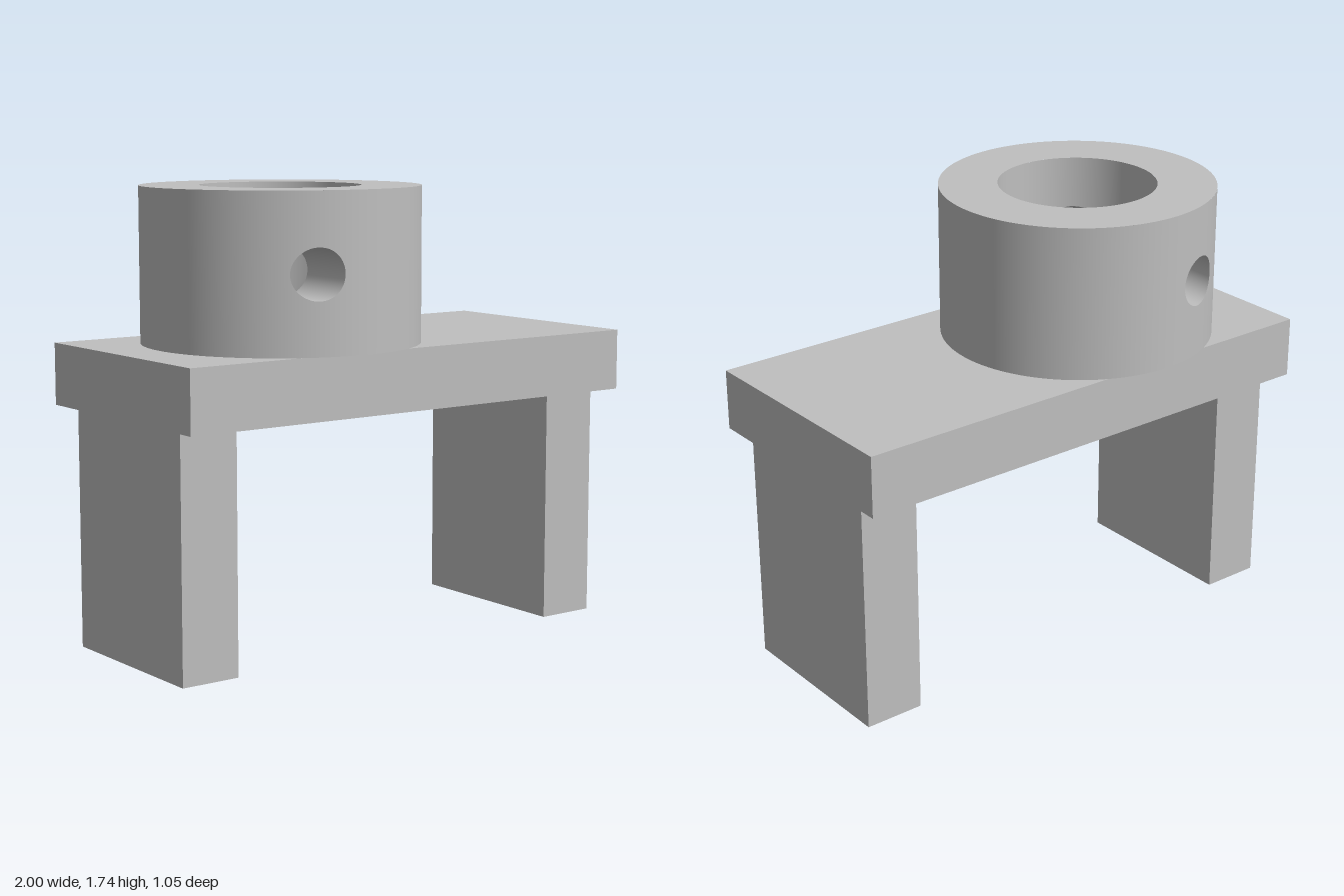
import * as THREE from 'three';

const RING = { x: -0.295, outer: 0.527, inner: 0.302, y0: 1.15, y1: 1.737 };
const HOLE = { x: -0.18, y: 1.443, r: 0.095 }; // x is relative to the ring axis

// Grid surface: fn(u, v) returns [position, normal]; triangles are wound to match the normals.
function surface(nu, nv, fn) {
  const pos = [], nor = [], index = [], P = [], N = [];
  for (let j = 0; j <= nv; j++) {
    for (let i = 0; i <= nu; i++) {
      const [p, n] = fn(i / nu, j / nv);
      P.push(p); N.push(n);
      pos.push(p.x, p.y, p.z);
      nor.push(n.x, n.y, n.z);
    }
  }
  const face = new THREE.Vector3(), edge = new THREE.Vector3();
  const tri = (a, b, c) => {
    face.subVectors(P[b], P[a]).cross(edge.subVectors(P[c], P[a]));
    if (face.dot(N[a]) + face.dot(N[b]) + face.dot(N[c]) >= 0) index.push(a, b, c);
    else index.push(a, c, b);
  };
  for (let j = 0; j < nv; j++) {
    for (let i = 0; i < nu; i++) {
      const a = j * (nu + 1) + i, b = a + 1, c = a + nu + 1, d = c + 1;
      tri(a, b, c);
      tri(b, d, c);
    }
  }
  const g = new THREE.BufferGeometry();
  g.setAttribute('position', new THREE.Float32BufferAttribute(pos, 3));
  g.setAttribute('normal', new THREE.Float32BufferAttribute(nor, 3));
  g.setIndex(index);
  return g;
}

// Point on a cylinder wall of radius r; side -1 mirrors it to the back.
function onWall(r, t, y, side, facing) {
  const s = Math.sin(t), c = Math.cos(t) * side;
  return [new THREE.Vector3(r * s, y, r * c), new THREE.Vector3(s * facing, 0, c * facing)];
}

// Ring wall with a front and a back opening for the cross hole.
function wallGeometries(r, facing) {
  const margin = 0.05;
  const t0 = Math.asin((HOLE.x - HOLE.r) / r) - margin;
  const t1 = Math.asin((HOLE.x + HOLE.r) / r) + margin;
  const { y0, y1 } = RING;
  const arc = (from, to) => surface(64, 1, (u, v) =>
    onWall(r, from + (to - from) * u, y0 + (y1 - y0) * v, 1, facing));
  const patch = side => surface(64, 8, (u, v) => {
    const a = u * Math.PI * 2, ca = Math.cos(a), sa = Math.sin(a);
    const m = Math.max(Math.abs(ca), Math.abs(sa));
    const th = Math.asin((HOLE.x + HOLE.r * ca) / r), yh = HOLE.y + HOLE.r * sa;
    const tr = (t0 + t1) / 2 + (ca / m) * (t1 - t0) / 2;
    const yr = (y0 + y1) / 2 + (sa / m) * (y1 - y0) / 2;
    return onWall(r, th + (tr - th) * v, yh + (yr - yh) * v, side, facing);
  });
  return [arc(t1, Math.PI - t1), arc(Math.PI - t0, Math.PI * 2 + t0), patch(1), patch(-1)];
}

// Lining of the cross hole between the two walls.
function tunnelGeometry(side) {
  return surface(64, 1, (u, v) => {
    const a = u * Math.PI * 2, ca = Math.cos(a), sa = Math.sin(a);
    const x = HOLE.x + HOLE.r * ca, r = v ? RING.outer : RING.inner;
    return [
      new THREE.Vector3(x, HOLE.y + HOLE.r * sa, side * Math.sqrt(r * r - x * x)),
      new THREE.Vector3(-ca, -sa, 0),
    ];
  });
}

export function createModel() {
  const model = new THREE.Group();
  model.name = 'drilledRingBracket';
  const grey = new THREE.MeshStandardMaterial({ color: 0xbfbfbf });
  grey.name = 'grey';
  const add = (parent, name, geometry) => {
    const mesh = new THREE.Mesh(geometry, grey);
    mesh.name = name;
    parent.add(mesh);
    return mesh;
  };

  // Table plate
  add(model, 'plate', new THREE.BoxGeometry(2, 0.235, 0.94)).position.y = 1.0325;

  // Legs, each with a round hole up from the foot
  const foot = new THREE.Shape([[-1, -1], [1, -1], [1, 1], [-1, 1]]
    .map(([x, z]) => new THREE.Vector2(x * 0.1175, z * 0.354)));
  foot.holes.push(new THREE.Path().absarc(0, 0, 0.06, 0, Math.PI * 2, true));
  const legGeometry = new THREE.ExtrudeGeometry(foot, { depth: 0.915, bevelEnabled: false, curveSegments: 32 });
  legGeometry.rotateX(-Math.PI / 2);
  for (const [name, x] of [['leftLeg', 0.8525], ['rightLeg', -0.8525]]) {
    add(model, name, legGeometry).position.x = x;
  }

  // Ring with a cross hole through both walls
  const ring = new THREE.Group();
  ring.name = 'ring';
  ring.position.x = RING.x;
  model.add(ring);
  wallGeometries(RING.outer, 1).forEach(g => add(ring, 'outerWall', g));
  wallGeometries(RING.inner, -1).forEach(g => add(ring, 'boreWall', g));
  for (const side of [1, -1]) add(ring, 'crossHole', tunnelGeometry(side));

  // Ring end faces
  for (const [name, y, tilt] of [['ringTop', RING.y1, -1], ['ringBottom', RING.y0, 1]]) {
    const cap = add(ring, name, new THREE.RingGeometry(RING.inner, RING.outer, 128));
    cap.rotation.x = tilt * Math.PI / 2;
    cap.position.y = y;
  }
  return model;
}
